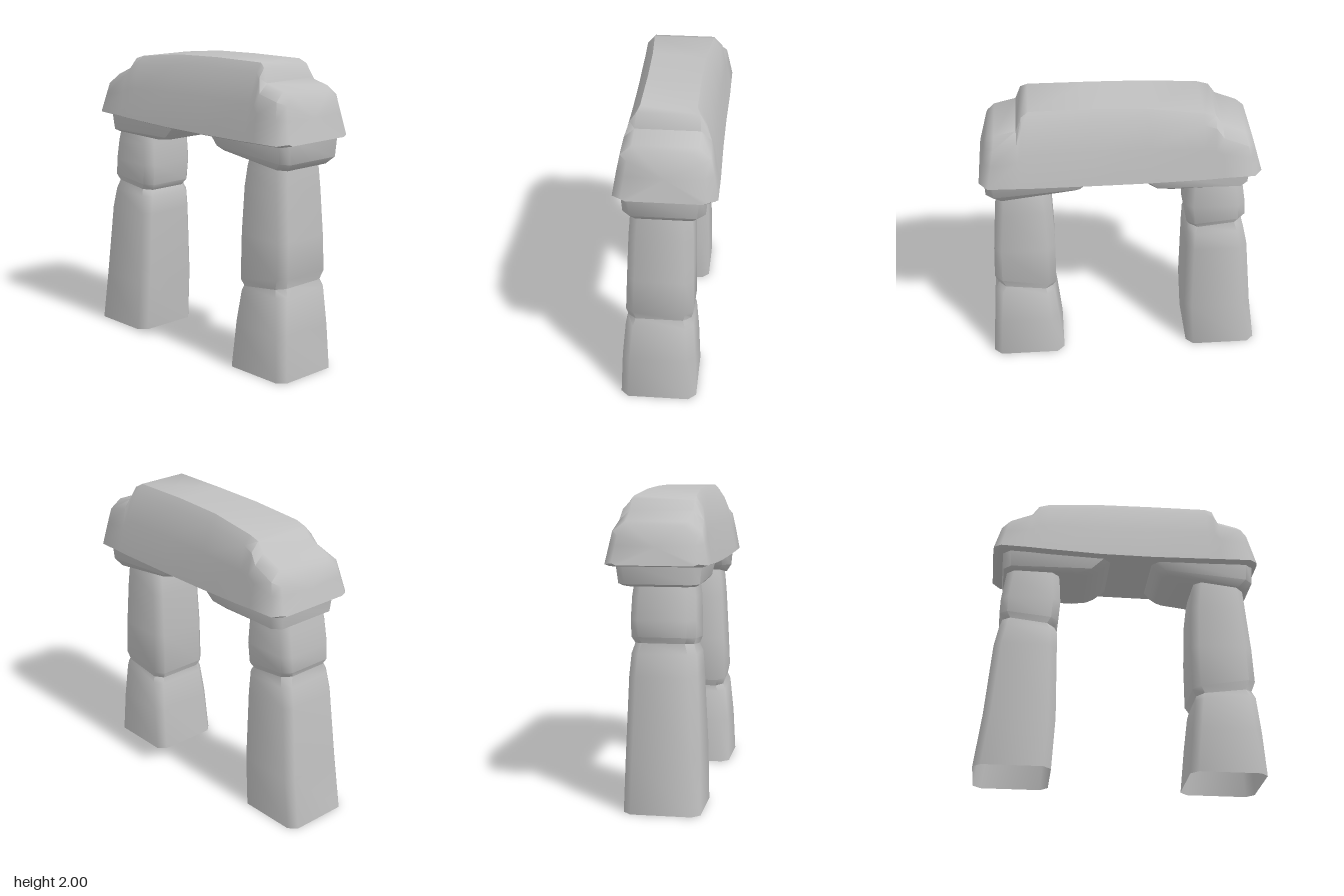
import * as THREE from 'three';
import { toCreasedNormals } from 'three/addons/utils/BufferGeometryUtils.js';

const stone = new THREE.MeshStandardMaterial({ color: 0xc0c0c0, side: THREE.DoubleSide });
stone.name = 'grey stone';

// Joins equal-length rings of [x, y, z] points into a skin, with optional end caps.
function loft(name, rings, capStart, capEnd) {
  const n = rings[0].length;
  const pos = rings.flat(2);
  const idx = [];
  for (let r = 0; r < rings.length - 1; r++) {
    for (let i = 0; i < n; i++) {
      const a = r * n + i, b = r * n + (i + 1) % n;
      idx.push(a, b, b + n, a, b + n, a + n);
    }
  }
  const cap = (r, flip) => {
    const c = pos.length / 3;
    for (let k = 0; k < 3; k++) pos.push(rings[r].reduce((s, p) => s + p[k], 0) / n);
    for (let i = 0; i < n; i++) {
      const a = r * n + i, b = r * n + (i + 1) % n;
      if (flip) idx.push(c, b, a); else idx.push(c, a, b);
    }
  };
  if (capStart) cap(0, true);
  if (capEnd) cap(rings.length - 1, false);

  // Turn the skin outward if its enclosed volume comes out negative.
  const at = (i) => new THREE.Vector3().fromArray(pos, i * 3);
  let volume = 0;
  for (let i = 0; i < idx.length; i += 3) {
    volume += at(idx[i]).dot(at(idx[i + 1]).cross(at(idx[i + 2])));
  }
  if (volume < 0) idx.reverse();

  const geo = new THREE.BufferGeometry();
  geo.setAttribute('position', new THREE.Float32BufferAttribute(pos, 3));
  geo.setIndex(idx);
  const mesh = new THREE.Mesh(toCreasedNormals(geo, 0.9), stone);
  mesh.name = name;
  return mesh;
}

// Horizontal rectangle with cut corners; tilt raises its +x side.
function slab([y, x0, x1, z0, z1, tilt = 0, c = 0.05]) {
  const mid = (x0 + x1) / 2, half = (x1 - x0) / 2;
  return [
    [x0 + c, z0], [x1 - c, z0], [x1, z0 + c], [x1, z1 - c],
    [x1 - c, z1], [x0 + c, z1], [x0, z1 - c], [x0, z0 + c],
  ].map(([x, z]) => [x, y + tilt * (x - mid) / half, z]);
}

// Half depth of the lintel at a given height.
function halfDepth(y) {
  if (y < 1.57) return 0.32;
  if (y < 1.88) return 0.315 - (y - 1.57) * 0.2;
  return 0.253 - (y - 1.88) * 0.68;
}

// Cross-section of the lintel, leaning from xb at the bottom to xt at the top.
function lintelSection([xb, xt, yb, yt, s = 1]) {
  const mid = (yb + yt) / 2, shoulder = yt - 0.06;
  const side = [
    [0.285, yb], [0.32, yb + 0.012], [halfDepth(mid), mid],
    [halfDepth(shoulder), shoulder], [Math.min(0.2, halfDepth(yt)), yt],
  ];
  const loop = [...side, ...side.map(([z, y]) => [-z, y]).reverse()];
  return loop.map(([z, y]) => [xb + (xt - xb) * (y - yb) / (yt - yb), y, z * s]);
}

export function createModel() {
  const group = new THREE.Group();
  group.name = 'stoneArch';

  // Pillars: each is two stacked stones with a narrow seam, open underneath
  group.add(loft('rightPillar', [
    [0, -0.94, -0.45, -0.195, 0.29],
    [0.35, -0.892, -0.428, -0.19, 0.28],
    [0.85, -0.845, -0.43, -0.175, 0.255],
    [0.98, -0.815, -0.432, -0.165, 0.245, -0.01],
    [1.035, -0.795, -0.45, -0.145, 0.225, -0.02],
    [1.075, -0.817, -0.425, -0.165, 0.24, -0.02],
    [1.2, -0.812, -0.413, -0.17, 0.24],
    [1.34, -0.79, -0.42, -0.165, 0.235],
    [1.46, -0.77, -0.43, -0.15, 0.22],
  ].map(slab), false, false));

  group.add(loft('leftPillar', [
    [0, 0.43, 0.93, -0.2, 0.298],
    [0.3, 0.458, 0.91, -0.19, 0.285],
    [0.53, 0.482, 0.887, -0.175, 0.262, 0.02],
    [0.575, 0.492, 0.865, -0.16, 0.245, 0.025],
    [0.63, 0.468, 0.888, -0.175, 0.258, 0.035],
    [0.9, 0.465, 0.878, -0.172, 0.248],
    [1.2, 0.475, 0.852, -0.168, 0.235],
    [1.33, 0.49, 0.842, -0.16, 0.225],
    [1.44, 0.51, 0.83, -0.14, 0.21],
  ].map(slab), false, false));

  // Capstones that sink into the underside of the lintel
  group.add(loft('rightCapstone', [
    [1.402, -0.78, -0.26, -0.22, 0.235, -0.003],
    [1.425, -0.803, -0.16, -0.25, 0.262, 0.005],
    [1.55, -0.813, -0.03, -0.265, 0.275],
  ].map(slab), true, true));

  group.add(loft('leftCapstone', [
    [1.388, 0.28, 0.85, -0.215, 0.235, -0.036],
    [1.425, 0.245, 0.9, -0.245, 0.262, -0.025],
    [1.55, 0.17, 0.905, -0.26, 0.275],
  ].map(slab), true, true));

  // Lintel with a raised, stepped crown
  group.add(loft('lintel', [
    [-0.878, -0.81, 1.542, 1.78, 0.84],
    [-0.83, -0.765, 1.532, 1.805],
    [-0.64, -0.62, 1.526, 1.865],
    [-0.575, -0.575, 1.522, 1.93],
    [-0.5, -0.5, 1.518, 1.952],
    [-0.15, -0.15, 1.505, 1.988, 0.98],
    [0.2, 0.2, 1.503, 1.998, 0.98],
    [0.6, 0.6, 1.508, 1.998],
    [0.645, 0.645, 1.51, 1.97],
    [0.68, 0.68, 1.51, 1.88],
    [0.88, 0.82, 1.514, 1.845],
    [0.935, 0.862, 1.525, 1.825, 0.82],
  ].map(lintelSection), true, true));

  return group;
}
